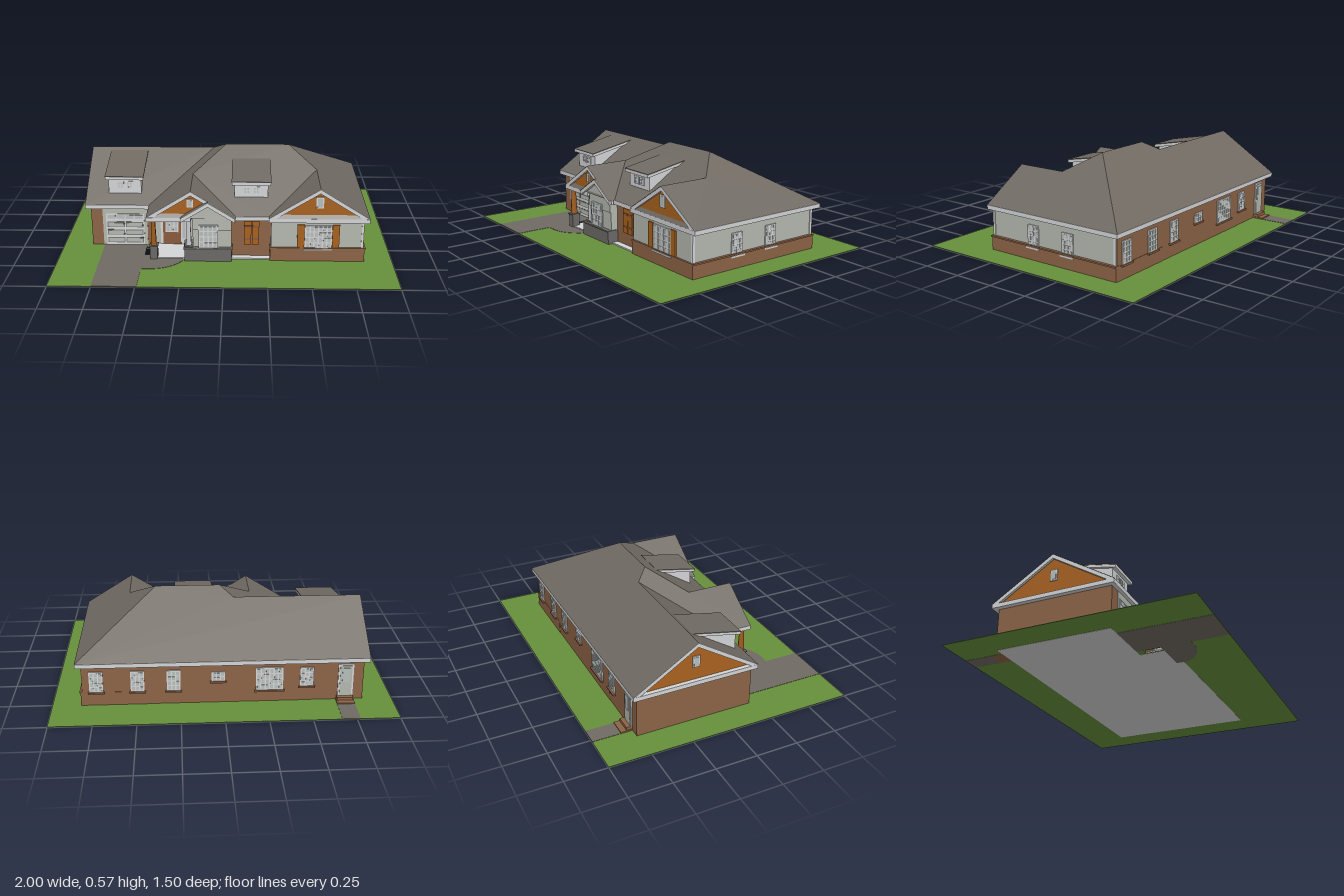
import * as THREE from 'three';

const mat = (name, color, side = THREE.FrontSide) => {
  const m = new THREE.MeshStandardMaterial({ color, side });
  m.name = name;
  return m;
};

export function createModel() {
  const house = new THREE.Group();
  house.name = 'house';
  const grass = mat('grass green', 0x668f3b), roofing = mat('shingle grey', 0x706a63, THREE.DoubleSide);
  const brick = mat('brick brown', 0x8c6346), siding = mat('siding grey', 0xb4b8ae);
  const trim = mat('trim white', 0xd3d4d6), wood = mat('cedar orange', 0xa8611f);
  const stone = mat('stone grey', 0x6b6966), glass = mat('glass grey', 0xb6bdb9);
  const doorBrown = mat('door brown', 0x8a5a3a), dark = mat('panel line grey', 0x77797a);

  const add = (name, geo, material, parent = house) => {
    const m = new THREE.Mesh(geo, material);
    m.name = name;
    parent.add(m);
    return m;
  };
  // box given by its limits
  const box = (name, material, x0, x1, y0, y1, z0, z1, parent) => {
    const g = new THREE.BoxGeometry(x1 - x0, y1 - y0, z1 - z0);
    g.translate((x0 + x1) / 2, (y0 + y1) / 2, (z0 + z1) / 2);
    return add(name, g, material, parent);
  };
  const shapeOf = pts => new THREE.Shape(pts.map(p => new THREE.Vector2(...p)));
  // (x, y) outline pulled from z0 to z1
  const front = (name, material, pts, z0, z1) => {
    const g = new THREE.ExtrudeGeometry(shapeOf(pts), { depth: z1 - z0, bevelEnabled: false });
    return add(name, g.translate(0, 0, z0), material);
  };
  // (z, y) outline pulled from x0 to x1
  const side = (name, material, pts, x0, x1) => {
    const g = new THREE.ExtrudeGeometry(shapeOf(pts), { depth: x1 - x0, bevelEnabled: false });
    return add(name, g.rotateY(-Math.PI / 2).translate(x1, 0, 0), material);
  };
  // (x, z) outline raised from y0 to y1
  const slab = (name, material, shape, y0, y1) => {
    const g = new THREE.ExtrudeGeometry(shape, { depth: y1 - y0, bevelEnabled: false, curveSegments: 10 });
    return add(name, g.rotateX(-Math.PI / 2).translate(0, y0, 0), material);
  };
  const plan = pts => shapeOf(pts.map(([x, z]) => [x, -z]));
  const chevron = (a, p, b, ye, yp, t) => [[a, ye - t], [b, ye - t], [b, ye], [p, yp], [a, ye], [a, ye - t]]
    .slice(2, 5).concat([[a, ye - t], [p, yp - t], [b, ye - t]]);

  // grounds
  const lawn = plan([[-1, -0.75], [-1, 0.75], [1, 0.75], [1, -0.75]]);
  lawn.holes.push(plan([[-0.485, 0.24], [-0.445, 0.24], [-0.445, 0.345], [-0.485, 0.345]]));
  slab('lawn', grass, lawn, 0.001, 0.004);
  const drive = plan([[-0.75, 0.2], [-0.75, 0.75], [-0.49, 0.75], [-0.49, 0.53], [-0.42, 0.53]]);
  drive.quadraticCurveTo(-0.31, -0.52, -0.25, -0.42);
  drive.lineTo(-0.25, -0.35);
  drive.lineTo(-0.485, -0.35);
  drive.lineTo(-0.485, -0.2);
  slab('driveway', roofing, drive, 0, 0.006);
  box('backPath', roofing, -0.77, -0.665, 0, 0.006, -0.75, -0.575);
  box('lowerStep', brick, -0.77, -0.665, 0, 0.012, -0.58, -0.5);
  box('upperStep', brick, -0.765, -0.67, 0, 0.03, -0.545, -0.5);
  box('floorSlab', trim, -0.82, 0.825, 0, 0.01, -0.505, 0.2);
  box('frontFloorSlab', trim, -0.44, 0.825, 0, 0.012, 0.2, 0.395);

  // walls
  box('garageWalls', brick, -0.825, -0.44, 0.002, 0.262, -0.51, 0.205);
  box('mainWalls', siding, -0.45, 0.82, 0.005, 0.265, -0.5, 0.2);
  box('backBrickWall', brick, -0.45, 0.822, 0.002, 0.258, -0.512, -0.495);
  box('bayWalls', siding, -0.19, 0.04, 0.005, 0.28, 0.19, 0.4);
  box('middleWall', brick, 0.03, 0.28, 0.002, 0.262, 0.19, 0.355);
  box('wingWalls', siding, 0.275, 0.82, 0.005, 0.262, 0.19, 0.4);
  box('wingBrickBase', brick, 0.27, 0.832, 0.002, 0.088, 0.19, 0.408);
  box('sideBrickBase', brick, 0.4, 0.832, 0.002, 0.088, -0.514, 0.2);
  box('brickCapFront', brick, 0.268, 0.838, 0.083, 0.092, 0.3, 0.412);
  box('brickCapSide', brick, 0.8, 0.838, 0.083, 0.092, -0.514, 0.412);
  box('bayStoneBase', stone, -0.24, 0.042, 0.002, 0.08, 0.3, 0.425);
  box('bayStoneCap', stone, -0.245, 0.046, 0.08, 0.088, 0.3, 0.43);
  for (const z of [-0.5, 0.395]) box('cornerTrim', trim, 0.81, 0.824, 0.09, 0.26, z - 0.008, z + 0.008);

  // roof planes, all at the same pitch
  const E = 0.282, S = 0.63;
  const back = (x, z) => E + (z + 0.54) * S, right = x => E + (0.855 - x) * S;
  const left = x => E + (x + 0.465) * S, ahead = (x, z) => E + (0.39 - z) * S;
  const planes = {
    backRoof: [back, [[-0.855, -0.54], [0.855, -0.54], [0.39, -0.075], [0, -0.075], [-0.08, -0.155], [-0.855, -0.155]]],
    garageFrontRoof: [(x, z) => E + (0.23 - z) * S, [[-0.855, -0.155], [-0.08, -0.155], [-0.465, 0.23], [-0.855, 0.23]]],
    rightRoof: [right, [[0.855, -0.54], [0.855, 0.415], [0.5575, 0.415], [0.5575, 0.0925], [0.39, -0.075]]],
    mainFrontRoof: [ahead, [[0, -0.075], [0.39, -0.075], [0.5575, 0.0925], [0.26, 0.39], [0.065, 0.39], [-0.2, 0.125]]],
    wingInnerRoof: [x => E + (x - 0.26) * S, [[0.5575, 0.0925], [0.5575, 0.415], [0.26, 0.415], [0.26, 0.39]]],
    porchLeftRoof: [left, [[-0.465, 0.23], [-0.08, -0.155], [0, -0.075], [-0.2, 0.125], [-0.2, 0.415], [-0.465, 0.415]]],
    porchRightRoof: [x => E + (0.065 - x) * S, [[-0.2, 0.125], [0.065, 0.39], [0.065, 0.43], [-0.1, 0.43], [-0.1, 0.415], [-0.2, 0.415]]],
    bayLeftRoof: [x => E + (x + 0.265) * S, [[-0.1, 0.395], [-0.1, 0.43], [-0.262, 0.43], [-0.262, 0.395]]],
  };
  for (const [name, [height, pts]] of Object.entries(planes)) {
    const g = new THREE.ShapeGeometry(plan(pts)).rotateX(-Math.PI / 2);
    const p = g.attributes.position;
    for (let i = 0; i < p.count; i++) p.setY(i, height(p.getX(i), p.getZ(i)));
    g.computeVertexNormals();
    add(name, g, roofing);
  }

  // boxed eaves
  for (const [x0, x1, z0, z1] of [[-0.855, 0.855, -0.54, -0.505], [0.815, 0.855, -0.54, 0.415],
    [-0.855, -0.44, 0.2, 0.23], [-0.855, -0.82, -0.54, 0.23], [0.26, 0.855, 0.385, 0.415],
    [0.04, 0.27, 0.35, 0.39], [-0.465, -0.2, 0.385, 0.415], [-0.465, -0.435, 0.2, 0.415]])
    box('eave', trim, x0, x1, 0.255, 0.281, z0, z1);
  box('porchCeiling', trim, -0.44, -0.19, 0.262, 0.27, 0.2, 0.39);

  // gables with rake boards and a skirt of shingles
  for (const [a, p, b, yp] of [[0.26, 0.5575, 0.855, 0.469], [-0.465, -0.2, 0.065, 0.449]]) {
    front('gablePanel', wood, [[a + 0.01, 0.28], [b - 0.01, 0.28], [p, yp - 0.006]], 0.385, 0.4);
    front('rakeBoard', trim, chevron(a, p, b, E - 0.002, yp - 0.002, 0.026), 0.398, 0.414);
    side('gableSkirt', roofing, [[0.395, 0.28], [0.415, 0.28], [0.4, 0.302], [0.395, 0.302]], a + 0.04, b - 0.04);
  }
  front('bayGable', siding, [[-0.19, 0.2], [0.04, 0.2], [0.04, 0.29], [-0.1, 0.38], [-0.235, 0.295], [-0.19, 0.27]], 0.385, 0.408);
  front('bayRakeBoard', trim, chevron(-0.262, -0.1, 0.062, 0.281, 0.383, 0.026), 0.405, 0.429);
  side('garageGable', wood, [[-0.53, 0.28], [0.22, 0.28], [-0.155, 0.518]], -0.83, -0.815);
  side('garageRakeBoard', trim, chevron(-0.54, -0.155, 0.23, 0.28, 0.522, 0.026), -0.854, -0.838);

  // windows face +z in their own group, then turn to their wall
  const windowAt = (name, x, y, z, w, h, cols, rows, turn = 0, sill = null) => {
    const g = new THREE.Group();
    g.name = name;
    const f = 0.008;
    box('frame', trim, -w / 2, w / 2, 0, h, -0.004, 0.003, g);
    const cw = (w - f) / cols, ch = (h - f) / rows;
    for (let i = 0; i < cols; i++) for (let j = 0; j < rows; j++)
      box('pane', glass, -w / 2 + f + i * cw, -w / 2 + (i + 1) * cw, f + j * ch, (j + 1) * ch, 0, 0.005, g);
    if (sill) box('sill', sill, -w / 2 - 0.008, w / 2 + 0.008, -0.01, 0, -0.004, 0.012, g);
    g.position.set(x, y, z);
    g.rotation.y = turn;
    house.add(g);
  };
  windowAt('wingWindow', 0.555, 0.085, 0.404, 0.16, 0.15, 6, 4, 0, trim);
  windowAt('bayWindow', -0.098, 0.088, 0.412, 0.115, 0.147, 4, 4, 0, trim);
  windowAt('wingGableVent', 0.5575, 0.345, 0.403, 0.045, 0.072, 1, 1);
  windowAt('porchGableVent', -0.205, 0.345, 0.403, 0.038, 0.052, 1, 1);
  windowAt('garageGableVent', -0.833, 0.36, -0.155, 0.045, 0.07, 1, 1, -Math.PI / 2);
  for (const z of [0.085, -0.17]) windowAt('sideWindow', 0.823, 0.08, z, 0.082, 0.13, 3, 4, Math.PI / 2, trim);
  for (const [x, y, w, h, c, r] of [[0.74, 0.09, 0.08, 0.13, 3, 4], [0.5, 0.09, 0.08, 0.13, 3, 4], [0.29, 0.09, 0.08, 0.13, 3, 4],
    [0.03, 0.145, 0.08, 0.06, 3, 2], [-0.27, 0.08, 0.16, 0.145, 6, 4], [-0.49, 0.1, 0.08, 0.12, 3, 4]])
    windowAt('backWindow', x, y, -0.516, w, h, c, r, Math.PI, brick);

  // shutters
  for (const x of [0.43, 0.637]) box('wingShutter', wood, x, x + 0.043, 0.088, 0.24, 0.398, 0.409);
  for (const x of [0.115, 0.162]) {
    box('middleShutter', wood, x, x + 0.043, 0.088, 0.24, 0.35, 0.363);
    for (const y of [0.12, 0.2]) box('shutterRail', doorBrown, x, x + 0.043, y, y + 0.012, 0.36, 0.366);
  }

  // garage door
  box('garageSurround', siding, -0.755, -0.48, 0.004, 0.255, 0.2, 0.208);
  box('garageDoor', trim, -0.735, -0.5, 0.004, 0.215, 0.2, 0.211);
  for (let i = 0; i < 2; i++) for (let j = 0; j < 3; j++) {
    const x = -0.728 + i * 0.114, y = 0.022 + j * 0.052;
    box('panelOutline', dark, x, x + 0.107, y, y + 0.036, 0.205, 0.213);
    box('panel', siding, x + 0.006, x + 0.101, y + 0.006, y + 0.03, 0.205, 0.215);
  }
  for (let i = 0; i < 4; i++) box('garagePane', glass, -0.725 + i * 0.056, -0.677 + i * 0.056, 0.183, 0.207, 0.205, 0.214);

  // entry porch
  box('doorFrame', trim, -0.4, -0.24, 0.012, 0.25, 0.195, 0.206);
  box('frontDoor', doorBrown, -0.385, -0.275, 0.014, 0.237, 0.2, 0.21);
  windowAt('doorLight', -0.33, 0.095, 0.211, 0.08, 0.125, 3, 3);
  box('sideLight', glass, -0.265, -0.247, 0.05, 0.235, 0.2, 0.209);
  for (const x of [-0.425, -0.215]) {
    box('postBase', stone, x - 0.022, x + 0.022, 0.002, 0.085, 0.355, 0.405);
    box('postCap', stone, x - 0.026, x + 0.026, 0.085, 0.092, 0.35, 0.41);
    const post = add('post', new THREE.CylinderGeometry(0.014, 0.022, 0.165, 4).rotateY(Math.PI / 4), x < -0.3 ? wood : trim);
    post.position.set(x, 0.174, 0.38);
  }

  // back door
  box('backDoorFrame', trim, -0.765, -0.675, 0.03, 0.235, -0.517, -0.505);
  box('backDoor', siding, -0.755, -0.685, 0.03, 0.225, -0.52, -0.505);
  box('backDoorPane', glass, -0.742, -0.698, 0.12, 0.21, -0.523, -0.51);

  // shed dormers
  for (const [x, zb, zf, yb, yf] of [[-0.617, -0.13, 0.18, 0.509, 0.447], [0.157, 0.025, 0.295, 0.514, 0.464]]) {
    const fw = zf - 0.025;
    side('dormerWalls', trim, [[zb, yf - 0.13], [fw, yf - 0.13], [fw, yf - 0.012], [zb, yb - 0.012]], x - 0.1, x + 0.1);
    side('dormerFascia', trim, [[zb, yb - 0.022], [zf, yf - 0.022], [zf, yf - 0.004], [zb, yb - 0.004]], x - 0.115, x + 0.115);
    side('dormerRoof', roofing, [[zb, yb - 0.006], [zf, yf - 0.006], [zf, yf], [zb, yb]], x - 0.118, x + 0.118);
    for (const s of [-1, 1]) windowAt('dormerWindow', x + s * 0.028, yf - 0.085, fw + 0.002, 0.044, 0.048, 2, 2);
  }
  return house;
}
